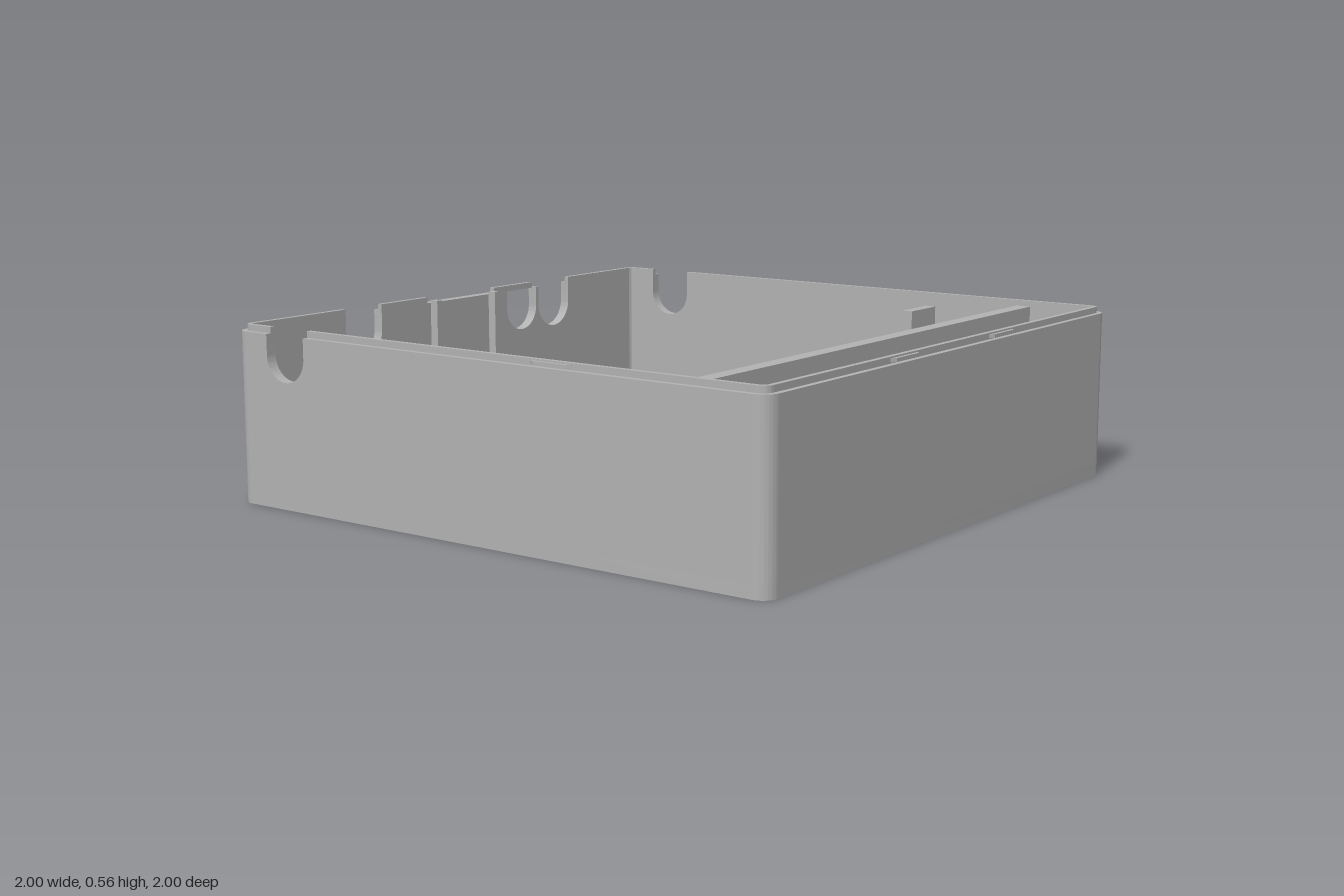
import * as THREE from 'three';
import { toCreasedNormals } from 'three/addons/utils/BufferGeometryUtils.js';

const R = 0.05;          // outer corner radius
const C = 1 - R;         // corner centre and end of the straight walls
const FLOOR = 0.04, RIM = 0.545, TOP = 0.565;
const INNER = 0.965, LIP = 0.982;
const SLOT_Y = 0.48;     // centre height of the round slot bottoms

export function createModel() {
  const model = new THREE.Group();
  model.name = 'openEnclosure';
  const grey = new THREE.MeshStandardMaterial({ color: 0xb2b2b2 });
  grey.name = 'light grey';

  const add = (parent, name, geometry) => {
    const mesh = new THREE.Mesh(geometry, grey);
    mesh.name = name;
    parent.add(mesh);
    return mesh;
  };
  const block = (parent, name, x0, x1, y0, y1, z0, z1) =>
    add(parent, name, new THREE.BoxGeometry(x1 - x0, y1 - y0, z1 - z0)
      .translate((x0 + x1) / 2, (y0 + y1) / 2, (z0 + z1) / 2));

  // Extrude a plan shape upwards from y0 to y1
  const raise = (shape, y0, y1) => toCreasedNormals(
    new THREE.ExtrudeGeometry(shape, { depth: y1 - y0, bevelEnabled: false, curveSegments: 10 })
      .rotateX(-Math.PI / 2).translate(0, y0, 0), 0.5);

  // Floor plate with rounded corners
  const plan = new THREE.Shape();
  [[1, 1], [-1, 1], [-1, -1], [1, -1]].forEach(([sx, sy], i) =>
    plan.absarc(sx * C, sy * C, R, i * Math.PI / 2, (i + 1) * Math.PI / 2, false));
  plan.closePath();
  add(model, 'floor', raise(plan, 0, FLOOR));

  // Quarter ring for wall and lip corners
  const cornerShape = (outer) => {
    const s = new THREE.Shape();
    s.absarc(C, C, outer - C, 0, Math.PI / 2, false);
    s.absarc(C, C, INNER - C, Math.PI / 2, 0, true);
    s.closePath();
    return s;
  };

  // Wall panel with U slots cut from its upper edge: [centre, radius]
  const wallGeometry = (slots) => {
    const s = new THREE.Shape();
    s.moveTo(-C, FLOOR);
    s.lineTo(-C, RIM);
    for (const [x, r] of slots) {
      s.lineTo(x - r, RIM);
      s.lineTo(x - r, SLOT_Y);
      s.absarc(x, SLOT_Y, r, Math.PI, Math.PI * 2, false);
      s.lineTo(x + r, RIM);
    }
    s.lineTo(C, RIM);
    s.lineTo(C, FLOOR);
    s.closePath();
    const g = new THREE.ExtrudeGeometry(s, { depth: 1 - INNER, bevelEnabled: false, curveSegments: 20 });
    return toCreasedNormals(g.translate(0, 0, INNER), 0.5);
  };

  // Tapered snap ridge on the outside of the lip
  const ridgeGeometry = (x) => {
    const s = new THREE.Shape();
    s.moveTo(x - 0.08, -LIP + 0.002);
    s.lineTo(x - 0.06, -0.993);
    s.lineTo(x + 0.06, -0.993);
    s.lineTo(x + 0.08, -LIP + 0.002);
    s.closePath();
    return raise(s, 0.549, 0.56);
  };

  // Each side is built facing +z, then turned into place
  const sides = [
    { name: 'front', turn: 0, slots: [], lip: [[-C, C]], ridges: [-0.29, 0.29] },
    { name: 'left', turn: Math.PI / 2, slots: [[0.78, 0.08]],
      lip: [[-C, 0.70], [0.86, C]], ridges: [-0.265] },
    { name: 'back', turn: Math.PI, slots: [[-0.498, 0.085], [-0.32, 0.08], [0.475, 0.083]],
      lip: [[-C, -0.583], [-0.378, -0.17], [0.17, 0.392], [0.558, C]], ridges: [-0.295, 0.295] },
    { name: 'right', turn: -Math.PI / 2, slots: [[-0.78, 0.08]],
      lip: [[-C, -0.86], [-0.70, C]], ridges: [0.265] },
  ];
  for (const { name, turn, slots, lip, ridges } of sides) {
    const side = new THREE.Group();
    side.name = name + 'Side';
    side.rotation.y = turn;
    add(side, name + 'Wall', wallGeometry(slots));
    add(side, 'wallCorner', raise(cornerShape(1), FLOOR, RIM));
    add(side, 'lipCorner', raise(cornerShape(LIP), RIM, TOP));
    for (const [a, b] of lip) block(side, 'lip', a, b, RIM, TOP, INNER, LIP);
    for (const x of ridges) add(side, 'snapRidge', ridgeGeometry(x));
    model.add(side);
  }

  // Inner divider, support plate and front catch
  block(model, 'divider', -0.935, 0.935, FLOOR, 0.55, 0.70, 0.75);
  block(model, 'supportPlate', 0.595, 0.75, FLOOR, 0.55, 0.455, 0.492);
  block(model, 'frontCatch', 0.565, 0.775, 0.52, 0.55, 0.935, INNER);

  // Pair of guide ribs by the back wall
  for (const s of [-1, 1])
    block(model, 'guideRib', s * 0.148 - 0.012, s * 0.148 + 0.012, FLOOR, 0.555, -0.96, -0.93);

  return model;
}
